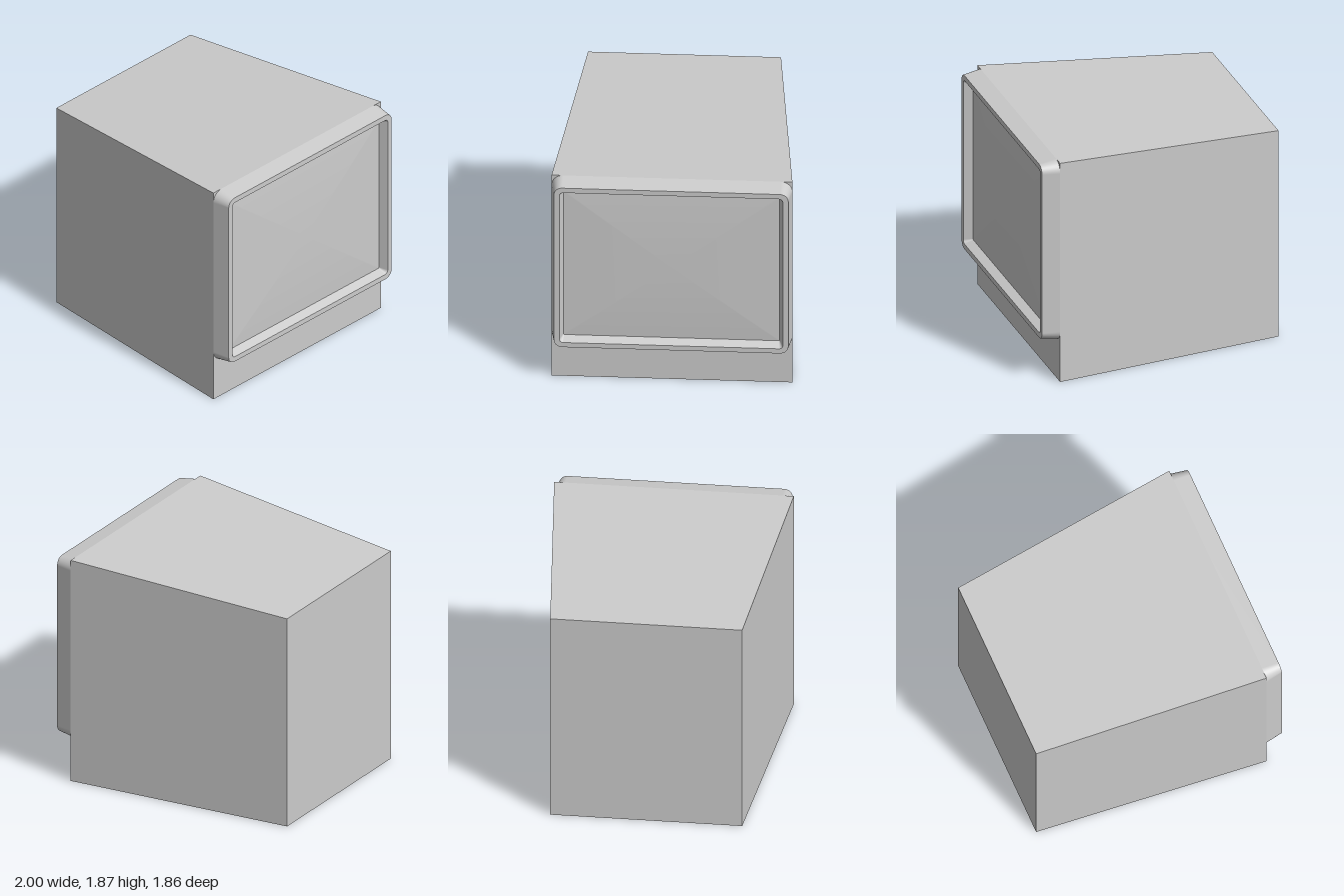
import * as THREE from 'three';

const CORNER_STEPS = 8;

// Rounded rectangle in the plane at x, anticlockwise when seen from +x
function roundedRing(x, halfWidth, bottom, top, radius) {
  const cu = halfWidth - radius;
  const corners = [
    [cu, top - radius], [-cu, top - radius],
    [-cu, bottom + radius], [cu, bottom + radius],
  ];
  const ring = [];
  corners.forEach(([u, v], c) => {
    for (let i = 0; i <= CORNER_STEPS; i++) {
      const a = (c + i / CORNER_STEPS) * Math.PI / 2;
      ring.push([x, v + radius * Math.sin(a), -(u + radius * Math.cos(a))]);
    }
  });
  return ring;
}

// Smooth skin through successive rings
function loft(rings) {
  const n = rings[0].length;
  const index = [];
  for (let r = 0; r < rings.length - 1; r++) {
    for (let i = 0; i < n; i++) {
      const a = r * n + i, b = r * n + (i + 1) % n;
      index.push(a, b, b + n, a, b + n, a + n);
    }
  }
  const geometry = new THREE.BufferGeometry();
  geometry.setAttribute('position', new THREE.Float32BufferAttribute(rings.flat(2), 3));
  geometry.setIndex(index);
  geometry.computeVertexNormals();
  return geometry;
}

export function createModel() {
  const model = new THREE.Group();
  model.name = 'monitor';
  const material = new THREE.MeshStandardMaterial({ color: 0xcccccc });
  const add = (name, geometry, parent = model) => {
    const mesh = new THREE.Mesh(geometry, material);
    mesh.name = name;
    parent.add(mesh);
  };

  // Housing: a box that narrows towards the rear, with a level base
  const body = new THREE.BoxGeometry(1.86, 1.87, 1.86).toNonIndexed();
  body.translate(-0.07, 0.935, 0);
  const p = body.attributes.position;
  for (let i = 0; i < p.count; i++) {
    if (p.getX(i) < 0) {
      p.setZ(i, Math.sign(p.getZ(i)) * 0.745);
      if (p.getY(i) > 1) p.setY(i, 1.76);
    }
  }
  body.computeVertexNormals();
  add('housing', body);

  // Bezel: separate bands keep the edges between them sharp
  const bezel = new THREE.Group();
  bezel.name = 'bezel';
  model.add(bezel);
  const rings = [
    roundedRing(0.86, 0.93, 0.34, 1.87, 0.09),
    roundedRing(1.0, 0.905, 0.362, 1.846, 0.065),
    roundedRing(1.0, 0.863, 0.405, 1.802, 0.03),
    roundedRing(0.93, 0.835, 0.433, 1.774, 0.008),
  ];
  ['bezelSide', 'bezelRim', 'bezelInnerWall'].forEach((name, i) => {
    add(name, loft([rings[i], rings[i + 1]]), bezel);
  });

  // Screen: shallow dome made of shrinking rings
  const edge = rings[3];
  const centreY = (0.433 + 1.774) / 2;
  const screenRings = [];
  for (let i = 0; i <= 10; i++) {
    const t = Math.max(1 - i / 10, 0.0005);
    screenRings.push(edge.map(([x, y, z]) =>
      [x + 0.02 * (1 - t * t), centreY + (y - centreY) * t, z * t]));
  }
  add('screen', loft(screenRings));

  return model;
}
